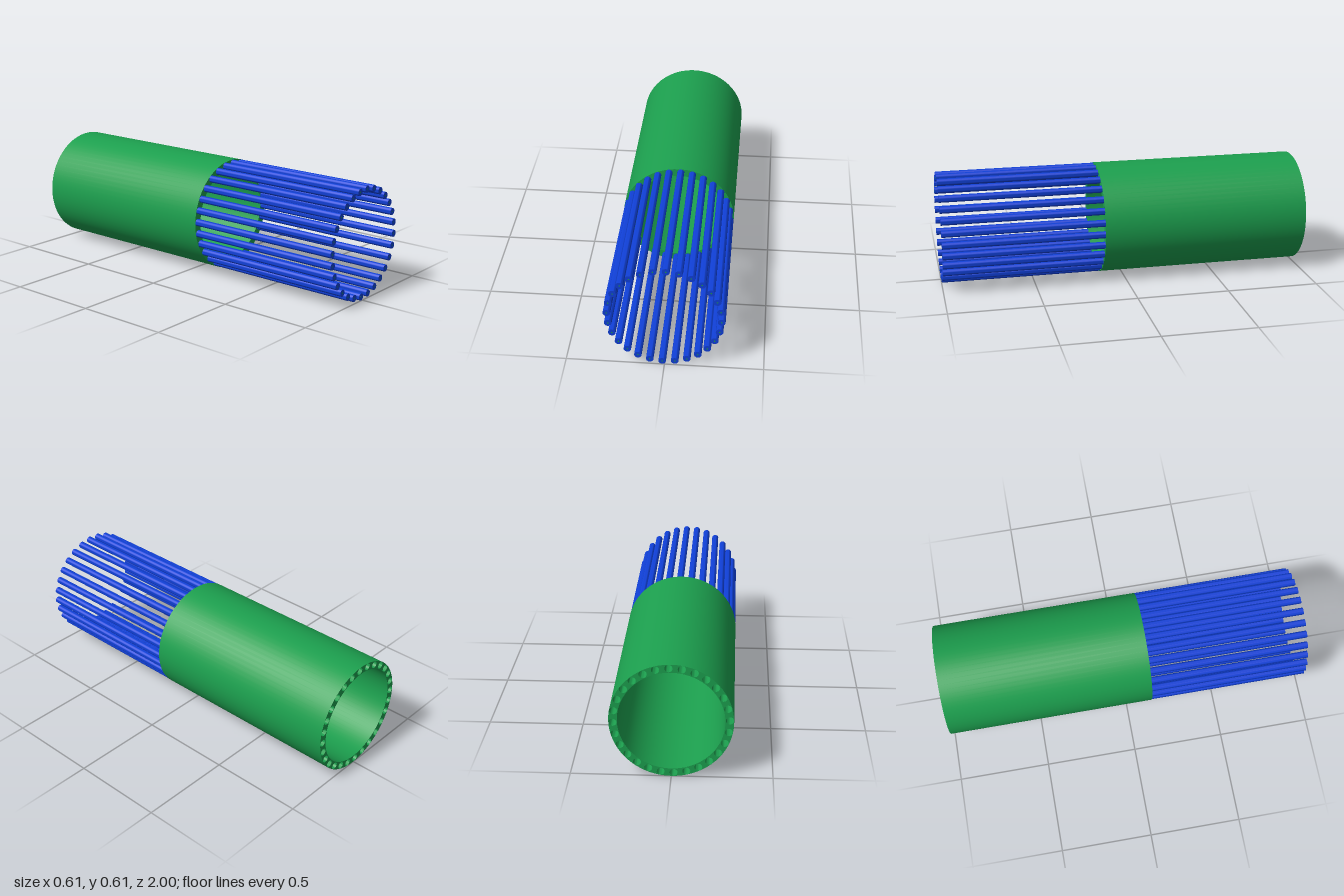
import * as THREE from 'three';
import { toCreasedNormals } from 'three/addons/utils/BufferGeometryUtils.js';

const COUNT = 28, OUTER = 0.304, INNER = 0.262, RING = 0.284;
const ROD = 0.019, BORE = 0.0196, CORE = 0.004;
const BACK = -1, SHOULDER = 0.13, FRONT = 1, ROD_BACK = 0;

// Points of a circle in the xy plane
function circle(radius, sides, cx = 0, cy = 0) {
  return Array.from({ length: sides }, (_, i) => {
    const a = (i / sides) * Math.PI * 2;
    return new THREE.Vector2(cx + radius * Math.cos(a), cy + radius * Math.sin(a));
  });
}

// Extrude an outline with holes from z0 to z1, smooth around the curves
function extrude(outline, holes, z0, z1) {
  const shape = new THREE.Shape(outline);
  holes.forEach((points) => shape.holes.push(new THREE.Path(points)));
  const geometry = new THREE.ExtrudeGeometry(shape, { depth: z1 - z0, bevelEnabled: false });
  geometry.translate(0, 0, z0);
  return toCreasedNormals(geometry, 0.7);
}

export function createModel() {
  const group = new THREE.Group();
  const green = new THREE.MeshStandardMaterial({ color: 0x1c9f4e });
  const blue = new THREE.MeshStandardMaterial({ color: 0x1040d8 });

  // Evenly spaced rod positions around the wall
  const centres = Array.from({ length: COUNT }, (_, i) => {
    const a = (i / COUNT) * Math.PI * 2 - 0.04;
    return [RING * Math.cos(a), RING * Math.sin(a)];
  });

  // Thick tube with a ring of bores running through its wall
  const bores = centres.map(([x, y]) => circle(BORE, 20, x, y));
  const tube = new THREE.Mesh(
    extrude(circle(OUTER, 72), [circle(INNER, 72), ...bores], BACK, SHOULDER), green);
  tube.name = 'boredTube';
  group.add(tube);

  // Rods seated in the bores, each sleeved over a thin core
  const rodGeometry = extrude(circle(ROD, 20), [circle(CORE, 10)], ROD_BACK, FRONT);
  const coreGeometry = new THREE.CylinderGeometry(CORE, CORE, FRONT - ROD_BACK, 10)
    .rotateX(Math.PI / 2).translate(0, 0, (FRONT + ROD_BACK) / 2);
  centres.forEach(([x, y]) => {
    const rod = new THREE.Group();
    rod.name = 'rod';
    const sleeve = new THREE.Mesh(rodGeometry, blue);
    sleeve.name = 'rodSleeve';
    const core = new THREE.Mesh(coreGeometry, green);
    core.name = 'rodCore';
    rod.add(sleeve, core);
    rod.position.set(x, y, 0);
    group.add(rod);
  });

  group.children.forEach((part) => { part.position.y += OUTER; });
  return group;
}
